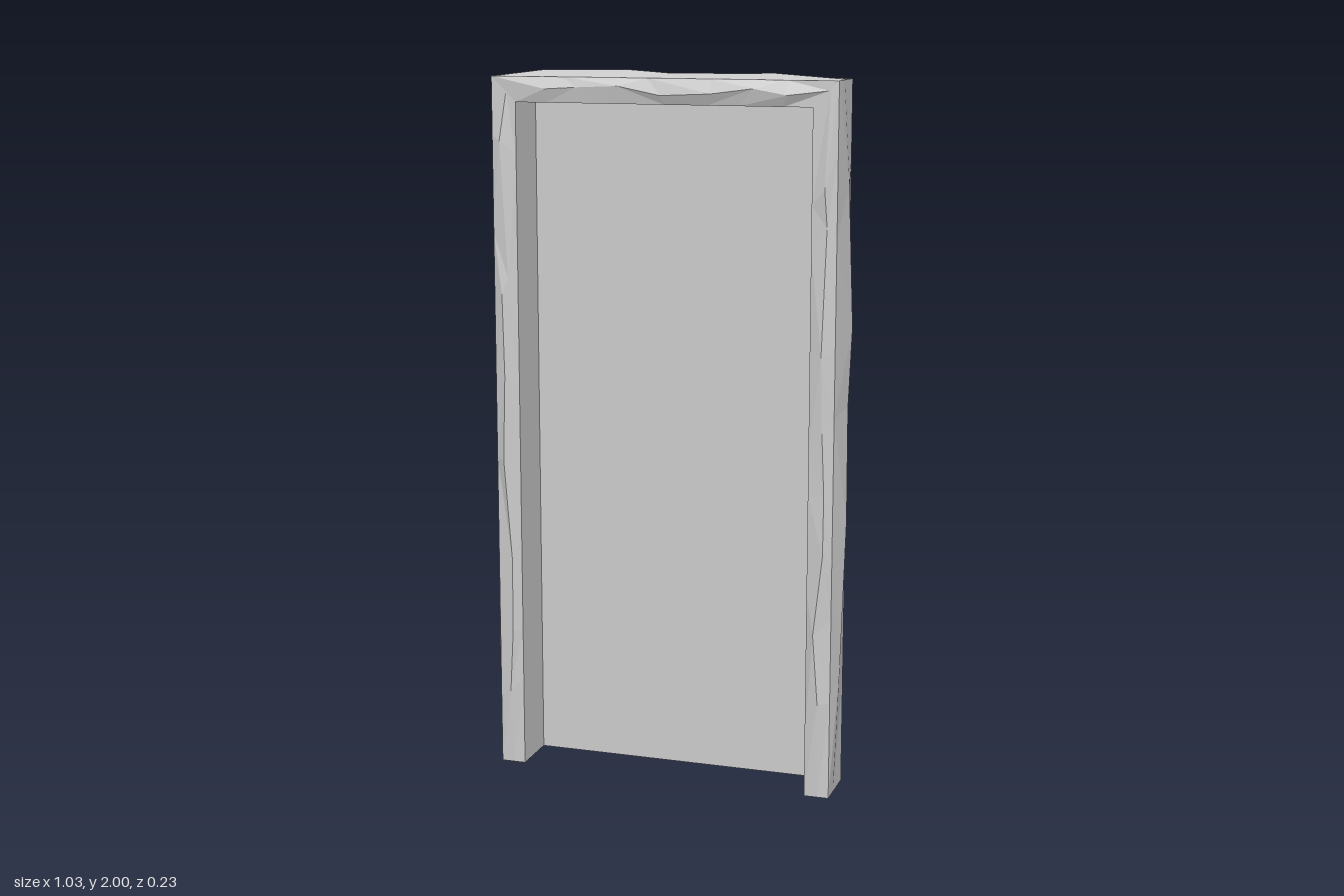
import * as THREE from 'three';

const material = new THREE.MeshStandardMaterial({ color: 0xcccccc, flatShading: true });

// Outer half width, height, inner half width, inner height, back and front depth
const W = 0.49, H = 1.98, w = 0.42, h = 1.91, B = -0.05, F = 0.1;

function seeded(seed) {
  let s = seed;
  return () => {
    s = (s * 16807) % 2147483647;
    return s / 2147483647;
  };
}

// Rough stone skin over a quad (corners counter-clockwise from outside).
// Its rim stays straight; inner points are jittered and pushed outwards by lift(u, v, random).
function stone(name, corners, nu, nv, seed, lift) {
  const [a, b, c, d] = corners.map((p) => new THREE.Vector3(...p));
  const rand = seeded(seed * 7919 + 13);
  for (let i = 0; i < 5; i++) rand();
  const normal = b.clone().sub(a).cross(d.clone().sub(a)).normalize();
  const rows = [];
  for (let j = 0; j <= nv; j++) {
    const row = [];
    for (let i = 0; i <= nu; i++) {
      const rimU = i === 0 || i === nu, rimV = j === 0 || j === nv;
      const u = (i + (rimU ? 0 : (rand() - 0.5) * 0.75)) / nu;
      const v = (j + (rimV ? 0 : (rand() - 0.5) * 0.75)) / nv;
      const p = a.clone().lerp(b, u).lerp(d.clone().lerp(c, u), v);
      if (!rimU && !rimV) p.addScaledVector(normal, lift(u, v, rand()));
      row.push(p);
    }
    rows.push(row);
  }
  const points = [];
  for (let j = 0; j < nv; j++) {
    for (let i = 0; i < nu; i++) {
      const p = rows[j][i], q = rows[j][i + 1], r = rows[j + 1][i + 1], s = rows[j + 1][i];
      if (rand() < 0.5) points.push(p, q, r, p, r, s);
      else points.push(p, q, s, q, r, s);
    }
  }
  const geometry = new THREE.BufferGeometry().setFromPoints(points);
  geometry.computeVertexNormals();
  const mesh = new THREE.Mesh(geometry, material);
  mesh.name = name;
  return mesh;
}

const flat = (name, corners) => stone(name, corners, 1, 1, 1, () => 0);
const chipped = (u, v, r) => 0.007 + 0.013 * r;
const bulging = (u, v, r) => 0.008 + 0.022 * r;

// Back relief: a gentle swell with a few knobs [x, y, height]
const knobs = [[-0.28, 1.35, 0.04], [-0.08, 1.8, 0.02], [0.08, 0.72, 0.015], [-0.36, 1.2, 0.015]];
function backRelief(u, v, r) {
  const x = W - 2 * W * u, y = H * v;
  let z = 0.018 + 0.02 * r;
  for (const [kx, ky, k] of knobs) z += k * Math.exp(-((x - kx) ** 2 + (y - ky) ** 2) / 0.012);
  return Math.min(z, 0.073);
}

export function createModel() {
  const model = new THREE.Group();
  model.name = 'stoneDoorway';

  // Front of the frame, mitred at the top corners
  model.add(
    stone('leftJambFront', [[w, 0, F], [W, 0, F], [W, H, F], [w, h, F]], 2, 9, 3, chipped),
    stone('rightJambFront', [[-W, 0, F], [-w, 0, F], [-w, h, F], [-W, H, F]], 2, 9, 5, chipped),
    stone('lintelFront', [[-w, h, F], [w, h, F], [W, H, F], [-W, H, F]], 8, 2, 8, chipped)
  );

  // Rough outer sides, top and back
  model.add(
    stone('leftSide', [[W, 0, F], [W, 0, B], [W, H, B], [W, H, F]], 2, 6, 11, bulging),
    stone('rightSide', [[-W, 0, B], [-W, 0, F], [-W, H, F], [-W, H, B]], 2, 6, 14, bulging),
    stone('top', [[-W, H, F], [W, H, F], [W, H, B], [-W, H, B]], 6, 2, 17, (u, v, r) => 0.006 + 0.014 * r),
    stone('back', [[W, 0, B], [-W, 0, B], [-W, H, B], [W, H, B]], 7, 11, 21, backRelief)
  );

  // Smooth recess: rear panel, inner walls and lintel underside
  model.add(
    flat('recessPanel', [[-w, 0, B], [w, 0, B], [w, h, B], [-w, h, B]]),
    flat('leftInnerWall', [[w, 0, B], [w, 0, F], [w, h, F], [w, h, B]]),
    flat('rightInnerWall', [[-w, 0, F], [-w, 0, B], [-w, h, B], [-w, h, F]]),
    flat('lintelUnderside', [[-w, h, B], [w, h, B], [w, h, F], [-w, h, F]])
  );

  // Feet of the jambs
  model.add(
    flat('leftJambFoot', [[w, 0, B], [W, 0, B], [W, 0, F], [w, 0, F]]),
    flat('rightJambFoot', [[-W, 0, B], [-w, 0, B], [-w, 0, F], [-W, 0, F]])
  );
  return model;
}
